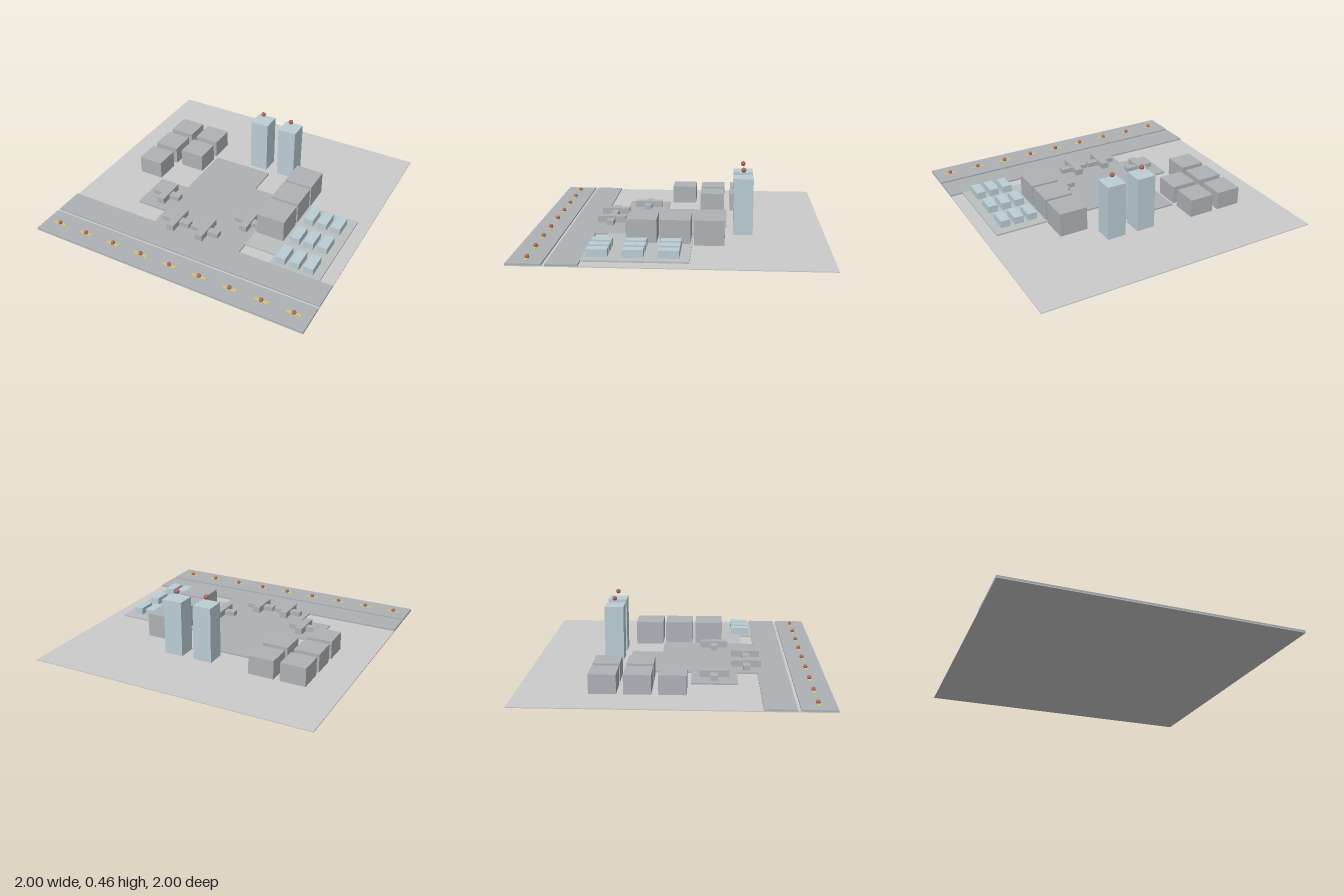
import * as THREE from 'three';

const BASE = 0.006;   // top of the ground slab
const PAVED = 0.017;  // top of runway, apron and parking

const mat = (color) => new THREE.MeshStandardMaterial({ color });
const ground = mat(0xcccccc);
const asphalt = mat(0xaeb1b5);
const concrete = mat(0xbcbfc1);
const metal = mat(0xaeb2b6);
const glass = mat(0xbbcdd5);
const paint = mat(0xd6c274);
const lamp = mat(0xb0685c);

export function createModel() {
  const model = new THREE.Group();

  const add = (parent, name, geometry, material, x = 0, y = 0, z = 0) => {
    const mesh = new THREE.Mesh(geometry, material);
    mesh.name = name;
    mesh.position.set(x, y, z);
    parent.add(mesh);
  };
  // Box standing on y0 and reaching up to y1
  const block = (parent, name, material, x, z, w, d, y0, y1) =>
    add(parent, name, new THREE.BoxGeometry(w, y1 - y0, d), material, x, (y0 + y1) / 2, z);
  // Flat slab from an outline of [x, z] corners
  const slab = (name, material, outline) => {
    const shape = new THREE.Shape(outline.map(([x, z]) => new THREE.Vector2(x, -z)));
    const geometry = new THREE.ExtrudeGeometry(shape, { depth: PAVED - BASE, bevelEnabled: false });
    add(model, name, geometry.rotateX(-Math.PI / 2), material, 0, BASE, 0);
  };

  // Ground and paving
  block(model, 'ground', ground, 0, 0, 2, 2, 0, BASE);
  block(model, 'runway', asphalt, 0, 0.889, 2, 0.222, BASE, PAVED);
  slab('apronAndTaxiway', asphalt, [
    [-0.333, -0.333], [0.111, -0.333], [0.111, -0.111], [0.333, -0.111],
    [0.333, 0.556], [1, 0.556], [1, 0.756], [-1, 0.756], [-1, 0.556],
    [-0.333, 0.556], [-0.333, 0.417], [-0.556, 0.417], [-0.556, 0.111], [-0.333, 0.111],
  ]);
  slab('parkingArea', concrete, [
    [0.333, -0.111], [0.911, -0.111], [0.911, 0.556],
    [0.556, 0.556], [0.556, 0.467], [0.333, 0.467],
  ]);

  // Runway markings, each with a light
  const lampGeometry = new THREE.SphereGeometry(0.014, 16, 12);
  for (let i = -4; i <= 4; i++) {
    const x = i * 0.2222;
    block(model, 'runwayMarking', paint, x, 0.889, 0.1, 0.022, PAVED, PAVED + 0.003);
    add(model, 'runwayLight', lampGeometry, lamp, x, 0.028, 0.889);
  }

  // Control towers with beacons
  const beaconGeometry = new THREE.SphereGeometry(0.0165, 16, 12);
  for (const x of [0, 0.222]) {
    const tower = new THREE.Group();
    tower.name = 'controlTower';
    tower.position.set(x, 0, -0.444);
    block(tower, 'towerBody', glass, 0, 0, 0.133, 0.133, BASE, 0.395);
    add(tower, 'towerBeacon', beaconGeometry, lamp, 0, 0.444, 0);
    model.add(tower);
  }

  // Low hangars on the right, taller terminals on the left
  for (const [x, z] of [[-0.667, -0.444], [-0.444, -0.444], [-0.667, -0.222], [-0.444, -0.222], [-0.667, 0]])
    block(model, 'hangar', metal, x, z, 0.178, 0.178, BASE, 0.135);
  for (const z of [-0.222, 0, 0.222])
    block(model, 'terminal', metal, 0.444, z, 0.2, 0.2, BASE, 0.175);

  // Parked aircraft
  for (const [x, z] of [[-0.407, 0.263], [0.257, 0.263], [-0.187, 0.486], [0.037, 0.486]]) {
    const aircraft = new THREE.Group();
    aircraft.name = 'aircraft';
    aircraft.position.set(x, 0, z);
    block(aircraft, 'fuselage', metal, 0, 0, 0.055, 0.2, PAVED, 0.062);
    block(aircraft, 'wings', metal, 0, 0, 0.21, 0.05, PAVED, 0.05);
    model.add(aircraft);
  }

  // Rows of parked vehicles
  for (const x of [0.622, 0.721, 0.82])
    for (const z of [0.02, 0.243, 0.466])
      block(model, 'vehicle', glass, x, z, 0.067, 0.133, PAVED, 0.068);

  return model;
}
